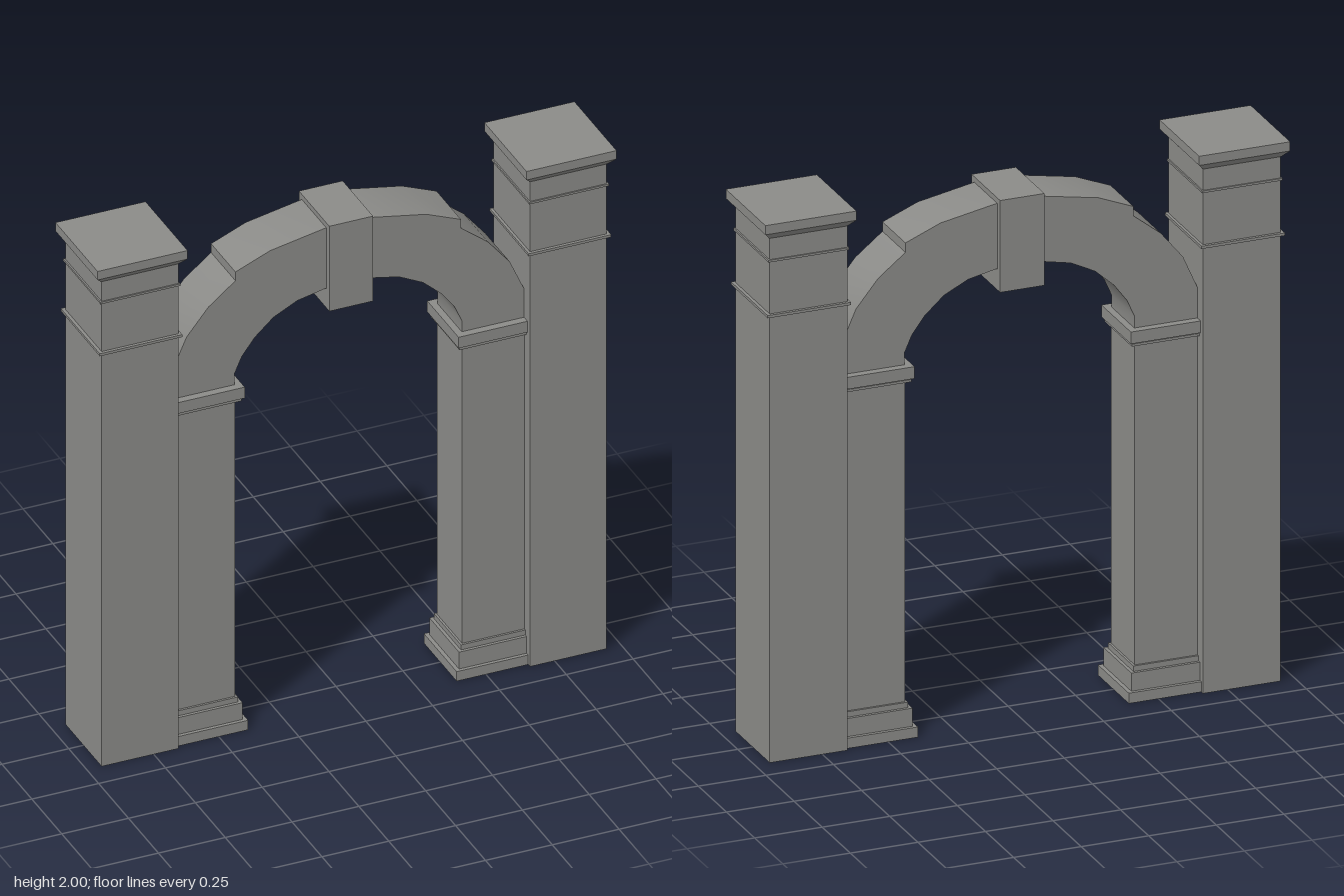
import * as THREE from 'three';
import { toCreasedNormals } from 'three/addons/utils/BufferGeometryUtils.js';

export function createModel() {
  const model = new THREE.Group();
  model.name = 'archway';
  const stone = new THREE.MeshStandardMaterial({ color: 0x8b8b88 });
  stone.name = 'grey stone';

  const add = (parent, name, geometry) => {
    const mesh = new THREE.Mesh(geometry, stone);
    mesh.name = name;
    parent.add(mesh);
    return mesh;
  };

  // Box given by its x range, y range and half depth
  const block = (parent, name, x0, x1, y0, y1, halfDepth) => {
    const mesh = add(parent, name, new THREE.BoxGeometry(x1 - x0, y1 - y0, halfDepth * 2));
    mesh.position.set((x0 + x1) / 2, (y0 + y1) / 2, 0);
    return mesh;
  };

  for (const side of [1, -1]) {
    const name = side > 0 ? 'left' : 'right';
    const at = (parent, part, a, b, y0, y1, d) =>
      block(parent, part, Math.min(a * side, b * side), Math.max(a * side, b * side), y0, y1, d);

    // Tall outer pillar with string courses and a flared cap
    const pillar = new THREE.Group();
    pillar.name = name + 'Pillar';
    model.add(pillar);
    at(pillar, 'pillarShaft', 0.658, 0.945, 0, 1.95, 0.152);
    at(pillar, 'pillarBand', 0.648, 0.957, 1.65, 1.66, 0.163);
    at(pillar, 'pillarUpperBand', 0.653, 0.951, 1.853, 1.861, 0.157);
    at(pillar, 'capSlab', 0.634, 0.971, 1.966, 2, 0.176);

    // Sloped underside of the cap: a box narrowed at its lower corners
    const flare = at(pillar, 'capFlare', 0.634, 0.971, 1.94, 1.966, 0.176);
    const pos = flare.geometry.attributes.position;
    for (let i = 0; i < pos.count; i++) {
      if (pos.getY(i) < 0) {
        pos.setX(i, Math.sign(pos.getX(i)) * 0.1445);
        pos.setZ(i, Math.sign(pos.getZ(i)) * 0.153);
      }
    }
    flare.geometry = flare.geometry.toNonIndexed();
    flare.geometry.computeVertexNormals();

    // Inner pier carrying the arch, with stepped base and impost
    const pier = new THREE.Group();
    pier.name = name + 'Pier';
    model.add(pier);
    at(pier, 'pierShaft', 0.425, 0.68, 0, 1.35, 0.105);
    at(pier, 'plinth', 0.39, 0.68, 0, 0.038, 0.137);
    at(pier, 'baseStep', 0.405, 0.68, 0.038, 0.105, 0.124);
    at(pier, 'baseTrim', 0.417, 0.68, 0.105, 0.125, 0.113);
    at(pier, 'impostTrim', 0.408, 0.68, 1.311, 1.32, 0.121);
    at(pier, 'impost', 0.4, 0.68, 1.326, 1.37, 0.131);
  }

  // Arch ring: half profile mirrored about the centre, stepped at the haunches
  const outer = [[0.66, 1.36], [0.66, 1.48], [0.605, 1.605], [0.523, 1.705],
    [0.422, 1.785], [0.422, 1.82], [0.292, 1.873], [0.085, 1.912]];
  const inner = [[0.085, 1.67], [0.19, 1.648], [0.28, 1.603], [0.35, 1.54],
    [0.398, 1.476], [0.425, 1.415], [0.425, 1.36]];
  const mirror = (list) => list.map(([x, y]) => [-x, y]).reverse();
  const ring = [...outer, ...mirror(outer), ...mirror(inner), ...inner];
  const shape = new THREE.Shape(ring.map(([x, y]) => new THREE.Vector2(x, y)));
  const arch = new THREE.ExtrudeGeometry(shape, { depth: 0.204, bevelEnabled: false });
  arch.translate(0, 0, -0.102);
  add(model, 'arch', toCreasedNormals(arch, 0.55));

  // Keystone
  block(model, 'keystone', -0.082, 0.082, 1.592, 1.932, 0.127);

  return model;
}
